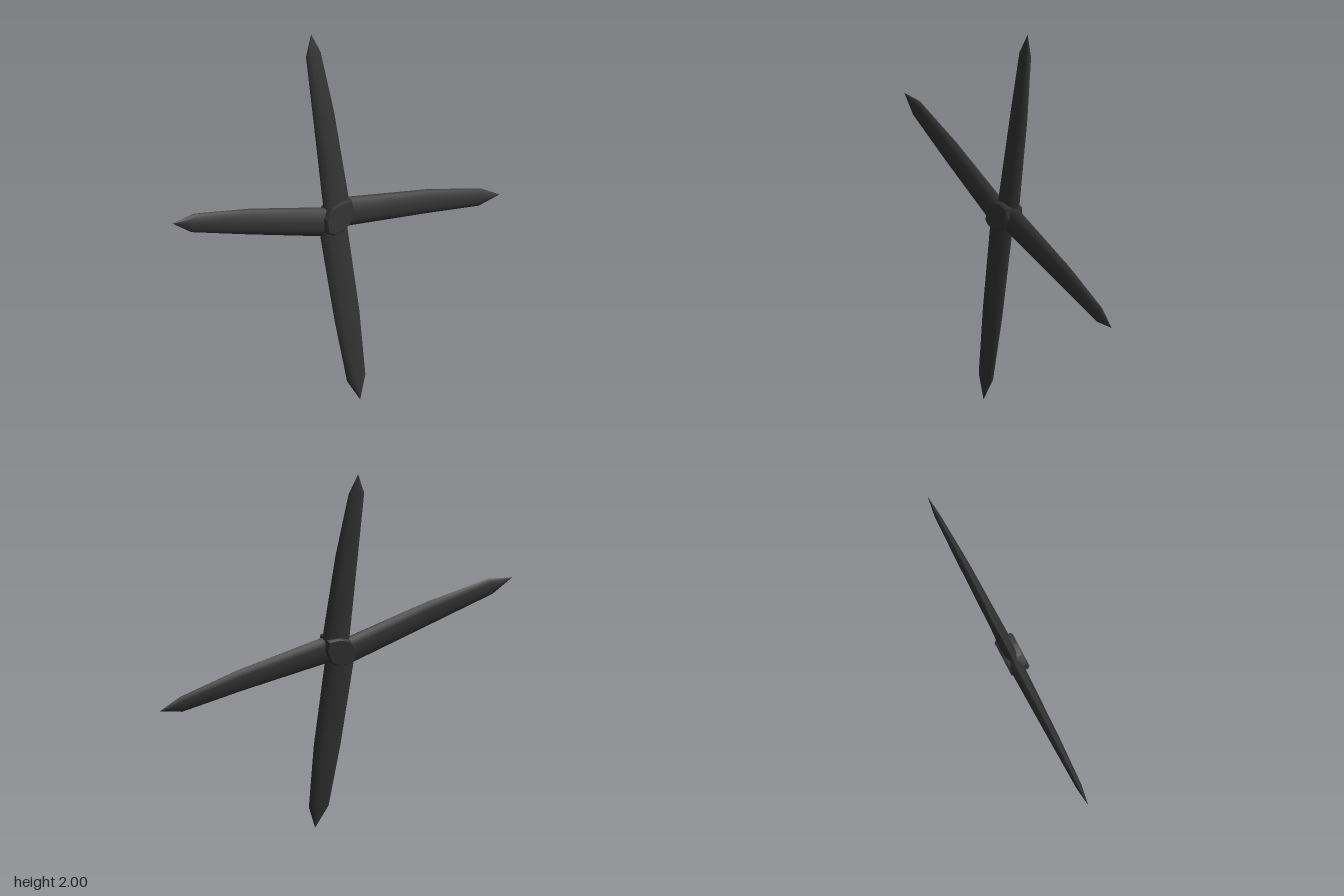
import * as THREE from 'three';
import { toCreasedNormals } from 'three/addons/utils/BufferGeometryUtils.js';

const material = new THREE.MeshStandardMaterial({ color: 0x333333, side: THREE.DoubleSide });
const axis = new THREE.Vector3(0.987, 0.158, 0).normalize(); // tilted spin axis
const SIDES = 12;

// Lens-shaped blade lofted through stations [x, y, z, halfWidth, halfThickness]
function makeBlade(name, stations) {
  const first = new THREE.Vector3(...stations[0]);
  const last = new THREE.Vector3(...stations[stations.length - 1]);
  const along = last.sub(first).normalize();
  const chord = new THREE.Vector3().crossVectors(axis, along).normalize();
  const thick = new THREE.Vector3().crossVectors(along, chord);
  const positions = [], indices = [];
  for (const [x, y, z, w, t] of stations) {
    for (let j = 0; j < SIDES; j++) {
      const a = (j / SIDES) * Math.PI * 2;
      const p = new THREE.Vector3(x, y, z)
        .addScaledVector(chord, Math.cos(a) * w)
        .addScaledVector(thick, Math.sin(a) * t);
      positions.push(p.x, p.y, p.z);
    }
  }
  for (let i = 0; i < stations.length - 1; i++) {
    for (let j = 0; j < SIDES; j++) {
      const k = (j + 1) % SIDES;
      const a = i * SIDES + j, b = i * SIDES + k;
      indices.push(a, b, a + SIDES, b, b + SIDES, a + SIDES);
    }
  }
  const geometry = new THREE.BufferGeometry();
  geometry.setAttribute('position', new THREE.Float32BufferAttribute(positions, 3));
  geometry.setIndex(indices);
  const mesh = new THREE.Mesh(toCreasedNormals(geometry, 0.8), material);
  mesh.name = name;
  return mesh;
}

// Skewed rounded hub, extruded along the tilted axis
function makeHub() {
  const outline = [
    [-0.085, 0.01], [-0.045, 0.06], [0.015, 0.08], [0.08, 0.075], [0.088, 0.02],
    [0.055, -0.05], [0.015, -0.075], [-0.05, -0.08], [-0.088, -0.06],
  ].map(([u, v]) => new THREE.Vector2(u, v));
  const geometry = new THREE.ExtrudeGeometry(new THREE.Shape(outline), {
    depth: 0.08, bevelEnabled: true, bevelThickness: 0.012, bevelSize: 0.008,
    bevelOffset: -0.006, bevelSegments: 1,
  });
  geometry.translate(0, 0, -0.035);
  const up = new THREE.Vector3(-axis.y, axis.x, 0);
  const side = new THREE.Vector3().crossVectors(up, axis);
  geometry.applyMatrix4(new THREE.Matrix4().makeBasis(side, up, axis).setPosition(0, 1.01, 0.015));
  const mesh = new THREE.Mesh(toCreasedNormals(geometry, 0.6), material);
  mesh.name = 'hub';
  return mesh;
}

export function createModel() {
  const group = new THREE.Group();
  group.name = 'propeller';
  group.add(
    makeHub(),
    makeBlade('upperBlade', [
      [0.0, 1.0, -0.005, 0.08, 0.036], [-0.02, 1.12, 0.0, 0.079, 0.034],
      [-0.09, 1.55, 0.02, 0.066, 0.027], [-0.147, 1.89, 0.045, 0.046, 0.018],
      [-0.163, 2.0, 0.047, 0.001, 0.001],
    ]),
    makeBlade('lowerBlade', [
      [0.0, 1.01, 0.034, 0.085, 0.037], [0.013, 0.92, 0.029, 0.085, 0.035],
      [0.085, 0.47, 0.0, 0.079, 0.027], [0.14, 0.12, -0.02, 0.058, 0.02],
      [0.161, 0.0, -0.03, 0.001, 0.001],
    ]),
    makeBlade('frontBlade', [
      [0.0, 0.975, 0.0, 0.078, 0.038], [-0.003, 1.0, 0.1, 0.076, 0.036],
      [-0.023, 1.13, 0.54, 0.068, 0.027], [-0.04, 1.22, 0.88, 0.049, 0.016],
      [-0.047, 1.25, 1.0, 0.001, 0.001],
    ]),
    makeBlade('rearBlade', [
      [0.0, 1.025, 0.0, 0.08, 0.036], [0.003, 1.01, -0.08, 0.077, 0.034],
      [0.015, 0.925, -0.55, 0.064, 0.026], [0.022, 0.85, -0.88, 0.046, 0.015],
      [0.027, 0.83, -1.0, 0.001, 0.001],
    ]),
  );
  return group;
}
